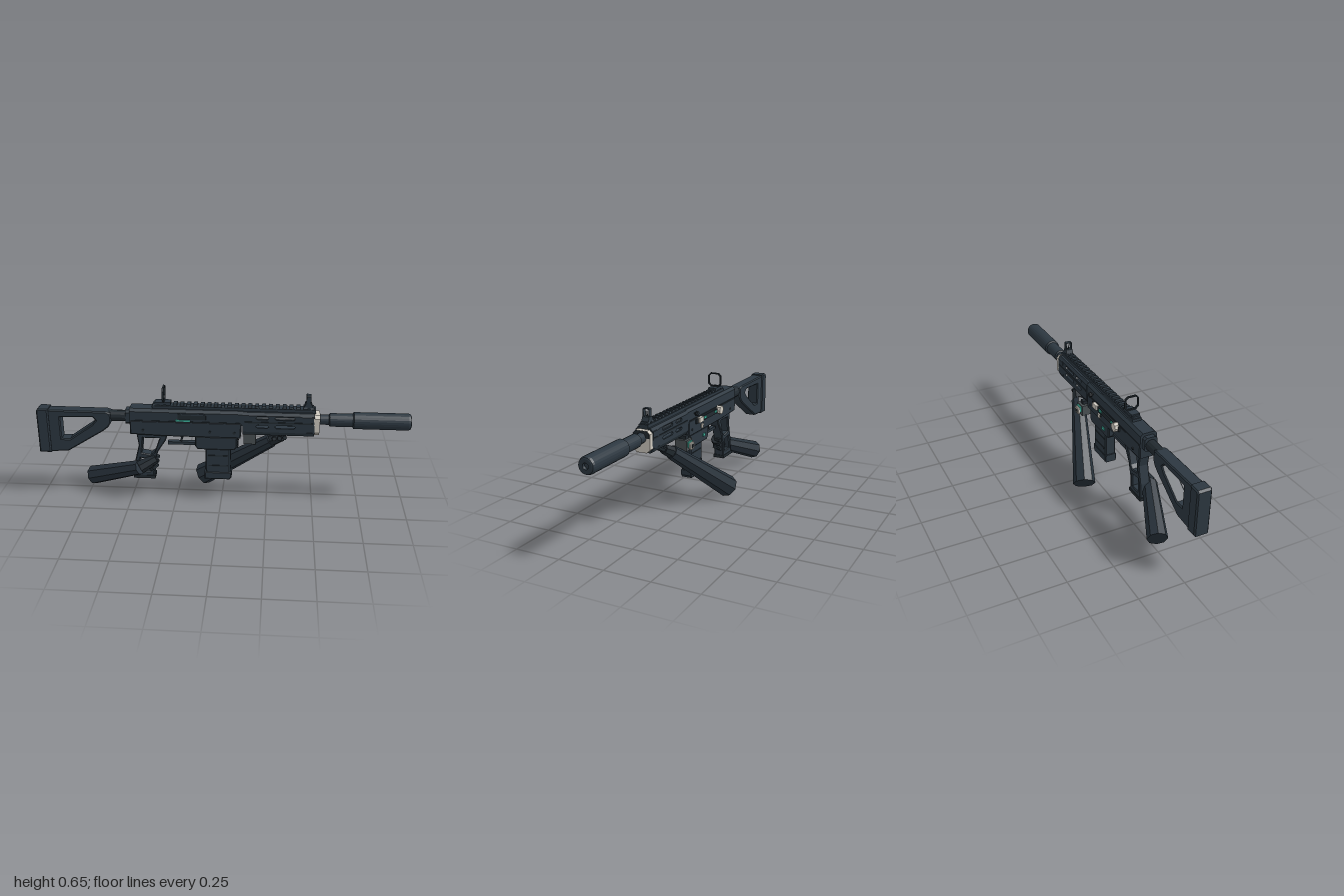
import * as THREE from 'three';

const mat = (name, color) => { const m = new THREE.MeshStandardMaterial({ color }); m.name = name; return m; };

export function createModel() {
  const gunmetal = mat('gunmetal', 0x2c3740), shade = mat('dark gunmetal', 0x222a30), sleeveMat = mat('sleeve', 0x27313a);
  const bone = mat('bone', 0xcfcac0), teal = mat('teal', 0x3fb5a0), grey = mat('grey', 0x4a5154);
  const model = new THREE.Group();
  const gun = new THREE.Group();
  gun.name = 'gun';
  gun.position.z = 0.073;
  model.add(gun);

  const add = (name, geo, m = gunmetal, parent = gun) => {
    const mesh = new THREE.Mesh(geo, m);
    mesh.name = name;
    parent.add(mesh);
    return mesh;
  };
  const flat = (g) => { const n = g.toNonIndexed(); n.computeVertexNormals(); return n; };
  // outlines and holes always run counter-clockwise, so that hole walls face outward
  const poly = (pts, Type = THREE.Shape) => {
    const v = pts.map(p => new THREE.Vector2(p[0], p[1]));
    return new Type(THREE.ShapeUtils.isClockWise(v) ? v.reverse() : v);
  };
  // box given by its limits
  const box = (name, x0, x1, y0, y1, z0, z1, m, parent) => add(name,
    new THREE.BoxGeometry(x1 - x0, y1 - y0, z1 - z0).translate((x0 + x1) / 2, (y0 + y1) / 2, (z0 + z1) / 2), m, parent);
  // side outline extruded across the gun, with chamfered rims
  const plate = (name, pts, z0, z1, { holes = [], bevel = 0, m = gunmetal } = {}) => {
    const s = poly(pts);
    holes.forEach(h => s.holes.push(poly(h, THREE.Path)));
    return add(name, new THREE.ExtrudeGeometry(s, {
      depth: z1 - z0 - 2 * bevel, bevelEnabled: bevel > 0, bevelSize: bevel, bevelOffset: -bevel,
      bevelThickness: bevel, bevelSegments: 1 }).translate(0, 0, z0 + bevel), m);
  };
  // rectangle with cut corners
  const octagon = (w, y0, y1, c, d = c) => [[-w + d, y0], [w - d, y0], [w, y0 + d], [w, y1 - c], [w - c, y1], [-w + c, y1], [-w, y1 - c], [-w, y0 + d]];
  // cross-section run along the gun
  const beam = (name, x0, x1, section, m, hole) => {
    const s = poly(section);
    if (hole) s.holes.push(poly(hole, THREE.Path));
    return add(name, new THREE.ExtrudeGeometry(s, { depth: x1 - x0, bevelEnabled: false }).rotateY(Math.PI / 2).translate(x0, 0, 0), m);
  };
  const lathe = (name, pts, y, m, seg = 24) => add(name,
    flat(new THREE.LatheGeometry(pts.map(p => new THREE.Vector2(p[1], p[0])), seg)).rotateZ(-Math.PI / 2).translate(0, y, 0), m);
  // faceted tapered limb between two points
  const limb = (name, a, b, ra, rb, m, parent, sides = 8) => {
    const A = new THREE.Vector3(...a), B = new THREE.Vector3(...b), dir = B.clone().sub(A);
    const mesh = add(name, flat(new THREE.CylinderGeometry(rb, ra, dir.length(), sides).rotateY(Math.PI / sides)), m, parent);
    mesh.position.copy(A).add(B).multiplyScalar(0.5);
    mesh.quaternion.setFromUnitVectors(new THREE.Vector3(0, 1, 0), dir.normalize());
  };

  // suppressor and barrel; the profile runs from the rear to the muzzle
  lathe('suppressor', [[0.5, 0], [0.5, 0.027], [0.57, 0.027], [0.575, 0.036], [0.695, 0.036], [0.7, 0.045],
    [0.985, 0.045], [0.997, 0.04], [1, 0.034], [1, 0.016], [0.985, 0.014], [0.985, 0]], 0.492);
  lathe('barrel', [[0.08, 0], [0.08, 0.014], [0.5, 0.014], [0.5, 0]], 0.485, shade, 12);

  // handguard with vented sides
  const slot = (x0, x1, y) => [[x0, y], [x0 + 0.009, y - 0.009], [x1 - 0.009, y - 0.009], [x1, y], [x1 - 0.009, y + 0.009], [x0 + 0.009, y + 0.009]];
  const vents = [];
  for (const y of [0.509, 0.461]) for (const [a, b] of [[0.185, 0.255], [0.285, 0.395]]) vents.push(slot(a, b, y));
  for (const s of [-1, 1]) {
    plate('handguardSide', [[0.115, 0.43], [0.495, 0.43], [0.495, 0.523], [0.115, 0.523]], s * 0.044 - 0.005, s * 0.044 + 0.005, { holes: vents });
    box('handguardStrip', 0.125, 0.485, 0.481, 0.489, s * 0.049 - 0.003, s * 0.049 + 0.003, shade);
  }
  beam('handguardTop', 0.115, 0.495, [[-0.049, 0.523], [0.049, 0.523], [0.038, 0.538], [-0.038, 0.538]]);
  beam('handguardBottom', 0.115, 0.495, [[-0.036, 0.408], [0.036, 0.408], [0.049, 0.43], [-0.049, 0.43]]);
  beam('muzzleCap', 0.49, 0.521, octagon(0.049, 0.415, 0.53, 0.016, 0.02), bone);
  beam('muzzleCapFace', 0.52, 0.523, [[-0.046, 0.492], [0.046, 0.492], [0.046, 0.514], [0.033, 0.528], [-0.033, 0.528], [-0.046, 0.514]], shade);
  beam('muzzleCollar', 0.43, 0.489, octagon(0.051, 0.42, 0.534, 0.014));

  // receiver
  beam('upperReceiver', -0.49, 0.115, octagon(0.047, 0.46, 0.54, 0.014, 0.002));
  plate('lowerReceiver', [[-0.49, 0.395], [-0.3, 0.388], [0.105, 0.388], [0.11, 0.475], [-0.49, 0.475]], -0.049, 0.049, { bevel: 0.005 });
  box('receiverSeam', -0.48, 0.1, 0.473, 0.478, -0.05, 0.05, shade);
  box('ejectionPort', -0.23, -0.08, 0.49, 0.522, 0.04, 0.05, shade);
  box('portCover', -0.21, -0.09, 0.515, 0.525, 0.04, 0.053);
  box('portLight', -0.242, -0.163, 0.479, 0.487, 0.046, 0.053, teal);
  for (const x of [-0.42, -0.06, 0.07]) add('pin', flat(new THREE.CylinderGeometry(0.008, 0.008, 0.104, 8)).rotateX(Math.PI / 2).translate(x, 0.42, 0), shade);

  // top rail with teeth
  box('railBase', -0.37, 0.5, 0.535, 0.555, -0.026, 0.026);
  for (let i = 0; i < 24; i++) {
    const x = -0.365 + i * 0.0363;
    beam('railTooth', x, x + 0.02, [[-0.02, 0.55], [0.02, 0.55], [0.025, 0.557], [0.02, 0.566], [-0.02, 0.566], [-0.025, 0.557]]);
  }

  // sights
  box('rearSightBase', -0.355, -0.27, 0.56, 0.574, -0.024, 0.024);
  beam('rearSightRing', -0.313, -0.303, octagon(0.04, 0.576, 0.656, 0.015), shade, octagon(0.033, 0.583, 0.649, 0.012));
  plate('frontSightBase', [[0.435, 0.56], [0.485, 0.56], [0.475, 0.588], [0.445, 0.588]], -0.02, 0.02);
  beam('frontSightFrame', 0.448, 0.472, octagon(0.019, 0.58, 0.631, 0.004), gunmetal, octagon(0.015, 0.586, 0.627, 0.003));
  limb('frontSightPost', [0.46, 0.58, 0], [0.46, 0.615, 0], 0.004, 0.002, shade, gun, 6);

  // stock
  lathe('bufferTube', [[-0.64, 0], [-0.64, 0.031], [-0.48, 0.031], [-0.48, 0]], 0.482, shade, 12);
  beam('bufferCollar', -0.515, -0.49, octagon(0.036, 0.445, 0.525, 0.012));
  plate('stock', [[-0.94, 0.515], [-0.62, 0.513], [-0.595, 0.505], [-0.595, 0.45], [-0.61, 0.425], [-0.64, 0.4], [-0.84, 0.275], [-0.94, 0.268]],
    -0.034, 0.034, { bevel: 0.006, holes: [[[-0.873, 0.474], [-0.695, 0.48], [-0.678, 0.462], [-0.7, 0.436], [-0.825, 0.348], [-0.873, 0.348]]] });
  plate('buttPad', [[-1, 0.265], [-0.935, 0.265], [-0.935, 0.521], [-0.99, 0.521], [-1, 0.51]], -0.04, 0.04, { bevel: 0.007 });

  // skeleton grip and trigger
  plate('grip', [[-0.46, 0.392], [-0.29, 0.392], [-0.3, 0.355], [-0.345, 0.285], [-0.365, 0.22], [-0.37, 0.13], [-0.48, 0.13], [-0.475, 0.22], [-0.45, 0.32]],
    -0.03, 0.03, { bevel: 0.005, holes: [[[-0.425, 0.365], [-0.335, 0.365], [-0.365, 0.28], [-0.385, 0.265], [-0.435, 0.275]], [[-0.445, 0.245], [-0.39, 0.235], [-0.392, 0.165], [-0.453, 0.165]]] });
  box('gripFoot', -0.485, -0.365, 0.122, 0.14, -0.033, 0.033, shade);
  box('triggerGuard', -0.292, -0.13, 0.325, 0.341, -0.014, 0.014);
  plate('trigger', [[-0.235, 0.39], [-0.215, 0.39], [-0.208, 0.365], [-0.216, 0.34], [-0.224, 0.345], [-0.22, 0.365]], -0.007, 0.007, { m: shade });

  // magazine well and magazine
  plate('magazineWell', [[-0.14, 0.33], [-0.125, 0.313], [0.07, 0.313], [0.085, 0.33], [0.085, 0.39], [-0.14, 0.39]], -0.042, 0.042, { bevel: 0.005 });
  for (let i = 0; i < 4; i++) box('wellRib', 0.08, 0.092, 0.325 + i * 0.016, 0.333 + i * 0.016, -0.03, 0.03, shade);
  plate('magazine', [[-0.085, 0.165], [0.05, 0.165], [0.05, 0.33], [-0.085, 0.33]], -0.031, 0.031, { bevel: 0.006 });
  plate('magazineFoot', [[-0.092, 0.13], [0.045, 0.13], [0.057, 0.145], [0.057, 0.175], [-0.092, 0.175]], -0.034, 0.034, { bevel: 0.005 });
  for (const y of [0.21, 0.27]) box('magazineRib', -0.07, 0.035, y, y + 0.006, -0.034, 0.034, shade);

  // controls on the far side
  const knob = (name, x, y, r, z0, z1, m, sides = 8) => add(name,
    flat(new THREE.CylinderGeometry(r, r, z1 - z0, sides)).rotateX(Math.PI / 2).translate(x, y, (z0 + z1) / 2), m);
  box('controlRail', -0.28, 0.03, 0.442, 0.468, -0.056, -0.047, shade);
  knob('selectorKnob', -0.25, 0.457, 0.025, -0.073, -0.046, bone);
  box('boltCatch', -0.035, 0.01, 0.444, 0.472, -0.066, -0.046, bone);
  box('boltLight', -0.085, -0.055, 0.45, 0.463, -0.06, -0.046, teal);
  box('selectorLight', -0.212, -0.192, 0.45, 0.463, -0.06, -0.046, teal);
  box('catch', -0.055, -0.035, 0.402, 0.425, -0.055, -0.047, bone);
  knob('chargingStem', 0.04, 0.505, 0.006, -0.06, -0.045, shade, 6);
  knob('chargingKnob', 0.04, 0.505, 0.014, -0.07, -0.058, shade);
  box('wellLight', -0.095, -0.068, 0.343, 0.358, -0.047, -0.04, teal);

  // small lamp hung under the handguard
  const lamp = new THREE.Group();
  lamp.name = 'lamp';
  gun.add(lamp);
  box('lampStem', 0.138, 0.168, 0.385, 0.412, -0.06, -0.01, shade, lamp);
  box('lampBody', 0.12, 0.185, 0.332, 0.392, -0.074, -0.005, grey, lamp);
  box('lampBand', 0.13, 0.176, 0.352, 0.382, -0.082, -0.073, teal, lamp);
  lamp.add(plate('lampBezel', octagon(0.022, 0.338, 0.378, 0.007).map(([x, y]) => [x + 0.152, y]), -0.0945, -0.0815, { m: bone, bevel: 0.003 }));
  box('lampLens', 0.142, 0.162, 0.348, 0.368, -0.0965, -0.094, shade, lamp);

  // arms: sleeve, palm and curled fingers
  const arm = (name, end, wrist, palm, r0, r1, fingers) => {
    const g = new THREE.Group();
    g.name = name;
    model.add(g);
    limb('sleeve', end, wrist, r0, r1, sleeveMat, g);
    limb('palm', wrist, palm, r1 * 0.9, r1 * 0.7, shade, g, 7);
    fingers.forEach(f => limb('finger', f[0], f[1], 0.015, 0.012, shade, g, 6));
  };
  arm('supportArm', [-0.118, 0.052, -0.105], [0.27, 0.35, 0.045], [0.325, 0.38, 0.06], 0.062, 0.038,
    [0, 1, 2].map(i => [[0.28 + i * 0.027, 0.36 + i * 0.008, 0.04], [0.285 + i * 0.028, 0.38 + i * 0.004, 0.095]]));
  arm('gripArm', [-0.738, 0.077, 0], [-0.445, 0.195, 0.117], [-0.36, 0.24, 0.09], 0.054, 0.041,
    [0, 1, 2].map(i => [[-0.385 + i * 0.005, 0.185 + i * 0.026, 0.11], [-0.36 + i * 0.004, 0.182 + i * 0.027, 0.055]]));
  return model;
}
